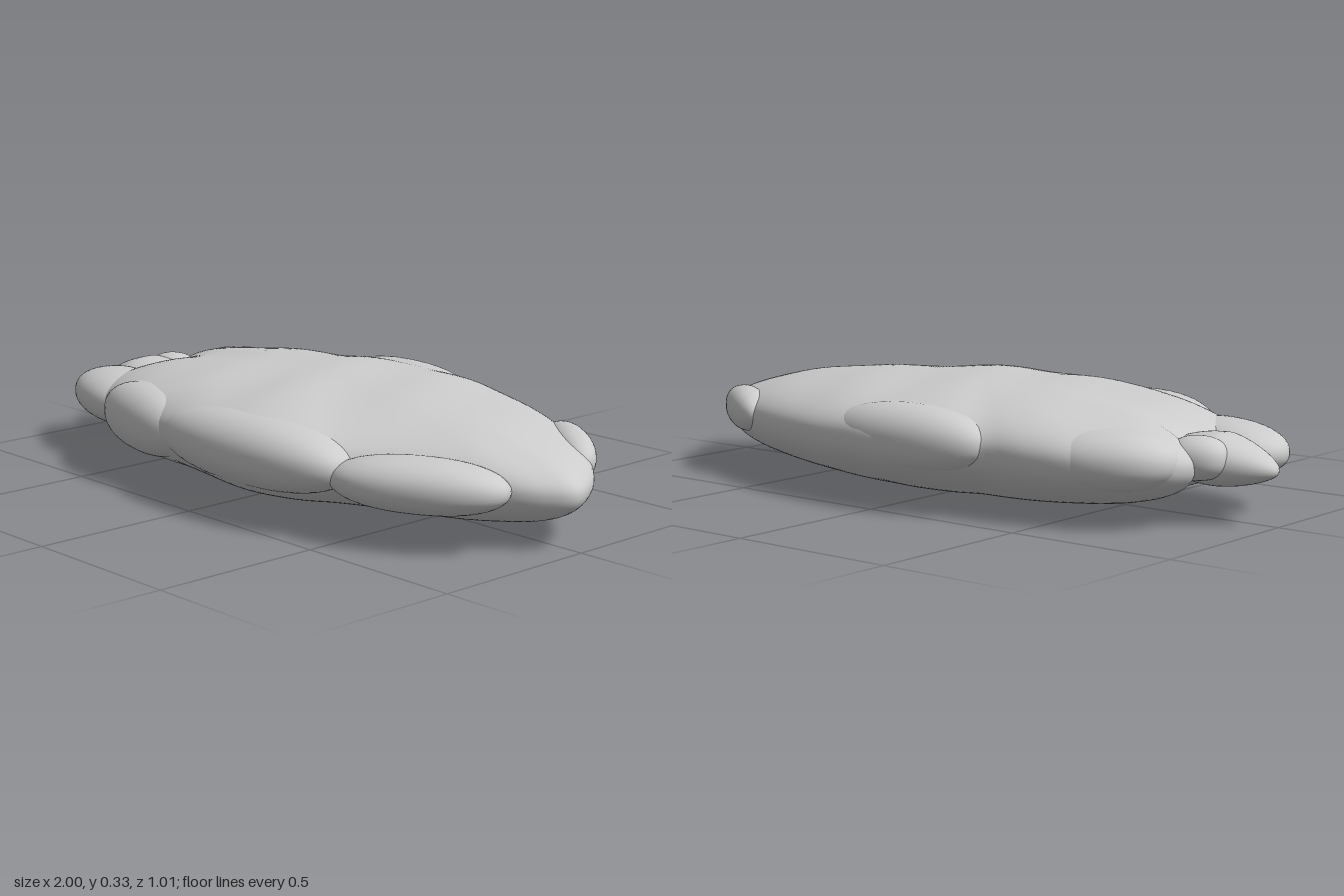
import * as THREE from 'three';
import { mergeVertices } from 'three/addons/utils/BufferGeometryUtils.js';

// Moves every vertex of a unit sphere by a rule, then smooths it without a seam
function shapedSphere(cols, rows, rule) {
  const sphere = new THREE.SphereGeometry(1, cols, rows);
  sphere.deleteAttribute('uv');
  sphere.deleteAttribute('normal');
  const geometry = mergeVertices(sphere, 1e-5);
  const p = geometry.attributes.position;
  const v = new THREE.Vector3();
  for (let i = 0; i < p.count; i++) {
    rule(v.fromBufferAttribute(p, i));
    p.setXYZ(i, v.x, v.y, v.z);
  }
  geometry.computeVertexNormals();
  return geometry;
}

// Plan outline of the slab as [x, z]
const outline = [
  [1, 0.02], [0.95, -0.1], [0.86, -0.2], [0.76, -0.28], [0.65, -0.34], [0.54, -0.39],
  [0.4, -0.44], [0.28, -0.475], [0.13, -0.495], [0, -0.51], [-0.2, -0.485], [-0.33, -0.43],
  [-0.45, -0.42], [-0.6, -0.39], [-0.72, -0.33], [-0.82, -0.24], [-0.84, -0.16],
  [-0.79, -0.09], [-0.77, 0], [-0.79, 0.1], [-0.77, 0.19], [-0.7, 0.27], [-0.57, 0.35],
  [-0.4, 0.425], [-0.28, 0.435], [-0.1, 0.465], [0.13, 0.5], [0.25, 0.48], [0.37, 0.43],
  [0.46, 0.36], [0.58, 0.29], [0.75, 0.21], [0.89, 0.14], [0.96, 0.08],
];
const curve = new THREE.CatmullRomCurve3(
  outline.map(([x, z]) => new THREE.Vector3(x, 0, z)), true);
const rim = curve.getPoints(500)
  .map((q) => ({ a: Math.atan2(q.z, q.x), r: Math.hypot(q.x, q.z) }))
  .sort((s, t) => s.a - t.a);

function rimRadius(angle) {
  const i = rim.findIndex((s) => s.a >= angle);
  if (i <= 0) return rim[0].r;
  const s = rim[i - 1], t = rim[i];
  return THREE.MathUtils.lerp(s.r, t.r, (angle - s.a) / Math.max(t.a - s.a, 1e-6));
}

// Rounds a unit sphere coordinate into a fuller, flatter section
const fuller = (n) => Math.sign(n) * Math.abs(n) ** (2 / 2.2);

function slabRule(v) {
  const angle = Math.atan2(v.z * 0.5, v.x);
  const r = fuller(Math.hypot(v.x, v.z)) * rimRadius(angle);
  const x = Math.cos(angle) * r, z = Math.sin(angle) * r;
  const h = fuller(v.y);
  const middle = 0.18 + 0.04 * z * z - 0.025 * x * x;
  // shallow weathering on the upper face
  const dents = 0.003 * Math.sin(9 * x + 4 * z) * Math.sin(13 * z - 3 * x)
    + 0.002 * Math.sin(19 * x - 8 * z + 1);
  const y = middle + (h > 0 ? h * (0.147 + dents) : h * 0.18);
  v.set(x, y, z);
}

// Side lobes: centre, half sizes, turn about y, narrowing toward local -x
const lobes = [
  ['frontLeftLobe', [0.67, 0.168, 0.27], [0.25, 0.074, 0.105], 0.45, 0],
  ['frontCentreLobe', [0.13, 0.185, 0.37], [0.37, 0.1, 0.13], 0.0, 0],
  ['frontMiddleLobe', [-0.36, 0.175, 0.34], [0.24, 0.1, 0.105], -0.22, 0],
  ['frontRightLobe', [-0.7, 0.165, 0.19], [0.23, 0.078, 0.13], -0.32, 0],
  ['rightTip', [-0.83, 0.167, -0.01], [0.17, 0.072, 0.11], 0, 0.4],
  ['rightKnob', [-0.81, 0.18, -0.1], [0.085, 0.06, 0.07], 0.3, 0],
  ['backLeftLobe', [0.73, 0.185, -0.255], [0.18, 0.065, 0.06], -0.62, 0],
  ['backCentreLobe', [-0.06, 0.195, -0.4], [0.28, 0.095, 0.11], 0, 0],
  ['backRightLobe', [-0.63, 0.175, -0.25], [0.2, 0.085, 0.13], 0.3, 0],
];

export function createModel() {
  const group = new THREE.Group();
  group.name = 'flatRock';
  const stone = new THREE.MeshStandardMaterial({ color: 0xcccccc });
  stone.name = 'pale grey stone';

  const slab = new THREE.Mesh(shapedSphere(160, 64, slabRule), stone);
  slab.name = 'slab';
  group.add(slab);

  for (const [name, centre, size, turn, taper] of lobes) {
    const geometry = shapedSphere(40, 24, (v) => {
      const k = 1 - taper * Math.max(0, -v.x);
      v.set(fuller(v.x) * size[0], fuller(v.y) * size[1] * k, fuller(v.z) * size[2] * k);
      v.y -= taper * 0.04 * Math.max(0, -v.x / size[0]);
    });
    const lobe = new THREE.Mesh(geometry, stone);
    lobe.name = name;
    lobe.position.set(...centre);
    lobe.rotation.y = turn;
    group.add(lobe);
  }
  return group;
}
